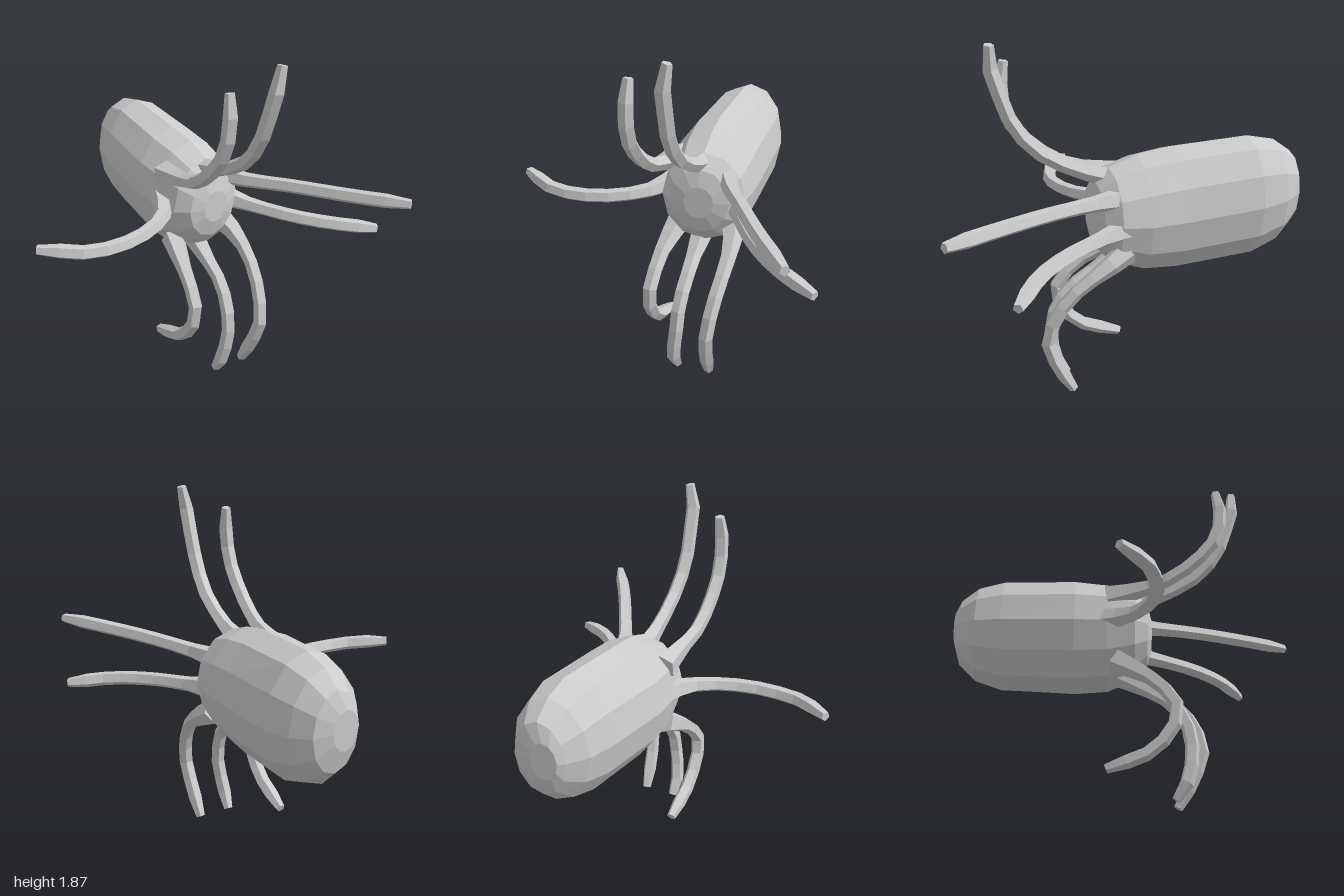
import * as THREE from 'three';

const material = new THREE.MeshStandardMaterial({
  color: 0xcccccc, flatShading: true, side: THREE.DoubleSide,
});

// Skins a list of rings (arrays of Vector3, counter-clockwise about the path) and closes both ends.
function loft(rings) {
  const n = rings[0].length;
  const positions = [];
  const tri = (...corners) => corners.forEach((p) => positions.push(p.x, p.y, p.z));
  const centre = (ring) => ring.reduce((s, p) => s.add(p), new THREE.Vector3()).divideScalar(n);
  const first = centre(rings[0]);
  const last = centre(rings[rings.length - 1]);
  for (let j = 0; j < n; j++) {
    const k = (j + 1) % n;
    for (let i = 0; i + 1 < rings.length; i++) {
      const a = rings[i], b = rings[i + 1];
      tri(a[j], a[k], b[j]);
      tri(a[k], b[k], b[j]);
    }
    tri(first, rings[0][k], rings[0][j]);
    tri(last, rings[rings.length - 1][j], rings[rings.length - 1][k]);
  }
  const geometry = new THREE.BufferGeometry();
  geometry.setAttribute('position', new THREE.Float32BufferAttribute(positions, 3));
  geometry.computeVertexNormals();
  return geometry;
}

// Body: elliptical sections along x, given as [x, y, z, half height, half depth]
function makeBody() {
  const sections = [
    [-0.99, 1.05, -0.28, 0.10, 0.07],
    [-0.96, 1.04, -0.31, 0.20, 0.13],
    [-0.86, 1.025, -0.30, 0.285, 0.195],
    [-0.71, 1.01, -0.285, 0.33, 0.23],
    [-0.30, 0.97, -0.215, 0.335, 0.25],
    [-0.12, 0.96, -0.20, 0.315, 0.245],
    [0.03, 0.965, -0.19, 0.255, 0.225],
    [0.10, 0.97, -0.18, 0.18, 0.16],
    [0.125, 0.97, -0.18, 0.09, 0.08],
  ];
  const sides = 12;
  return loft(sections.map(([x, y, z, h, d]) => Array.from({ length: sides }, (_, j) => {
    const a = (j / sides) * Math.PI * 2;
    return new THREE.Vector3(x, y + h * Math.cos(a), z + d * Math.sin(a));
  })));
}

// Leg: five-sided tube through the points, flared at the root and slimmer at the tip
function makeLeg(points) {
  const curve = new THREE.CatmullRomCurve3(points.map((p) => new THREE.Vector3(...p)), false, 'centripetal');
  const steps = 9, sides = 5;
  const { normals, binormals } = curve.computeFrenetFrames(steps);
  const rings = normals.map((normal, i) => {
    const t = i / steps;
    const radius = i === steps ? 0.026 : 0.039 + 0.03 * Math.max(0, 1 - t * 4);
    const c = curve.getPointAt(t);
    return Array.from({ length: sides }, (_, j) => {
      const a = (j / sides) * Math.PI * 2;
      return c.clone()
        .addScaledVector(normal, radius * Math.cos(a))
        .addScaledVector(binormals[i], radius * Math.sin(a));
    });
  });
  return loft(rings);
}

const legs = {
  upperBackLeg: [[-0.10, 1.14, -0.18], [0.05, 1.17, -0.17], [0.20, 1.22, -0.155], [0.38, 1.32, -0.135],
    [0.50, 1.46, -0.115], [0.57, 1.64, -0.11], [0.61, 1.78, -0.11], [0.61, 1.87, -0.13]],
  upperFrontLeg: [[-0.12, 1.13, -0.02], [0.05, 1.16, 0.01], [0.20, 1.20, 0.05], [0.35, 1.30, 0.075],
    [0.47, 1.44, 0.09], [0.51, 1.60, 0.09], [0.49, 1.75, 0.08]],
  rearUpperLeg: [[-0.08, 1.09, -0.31], [0.12, 1.09, -0.34], [0.40, 1.11, -0.45],
    [0.70, 1.12, -0.58], [0.98, 1.13, -0.72]],
  rearLowerLeg: [[-0.05, 0.94, -0.34], [0.18, 0.92, -0.42], [0.40, 0.90, -0.53],
    [0.56, 0.88, -0.66], [0.70, 0.85, -0.84]],
  forwardLeg: [[-0.16, 0.99, -0.03], [0.0, 0.97, 0.08], [0.08, 0.96, 0.20], [0.13, 0.95, 0.40],
    [0.10, 0.95, 0.62], [0.05, 0.96, 0.70], [-0.06, 0.97, 0.83]],
  lowerFrontLeg: [[-0.07, 0.76, -0.04], [0.10, 0.65, 0.02], [0.20, 0.55, 0.045], [0.25, 0.44, 0.06],
    [0.13, 0.25, 0.05], [-0.12, 0.15, 0.02]],
  lowerMiddleLeg: [[-0.07, 0.74, -0.18], [0.10, 0.64, -0.155], [0.22, 0.56, -0.14], [0.30, 0.45, -0.12],
    [0.33, 0.30, -0.11], [0.30, 0.12, -0.09], [0.24, 0.02, -0.10]],
  lowerBackLeg: [[-0.02, 0.81, -0.34], [0.10, 0.74, -0.36], [0.25, 0.63, -0.34], [0.35, 0.50, -0.31],
    [0.40, 0.33, -0.285], [0.34, 0.17, -0.28], [0.26, 0.02, -0.28]],
};

export function createModel() {
  const model = new THREE.Group();
  const add = (name, geometry) => {
    const mesh = new THREE.Mesh(geometry, material);
    mesh.name = name;
    model.add(mesh);
  };
  add('body', makeBody());
  for (const [name, points] of Object.entries(legs)) add(name, makeLeg(points));
  return model;
}
